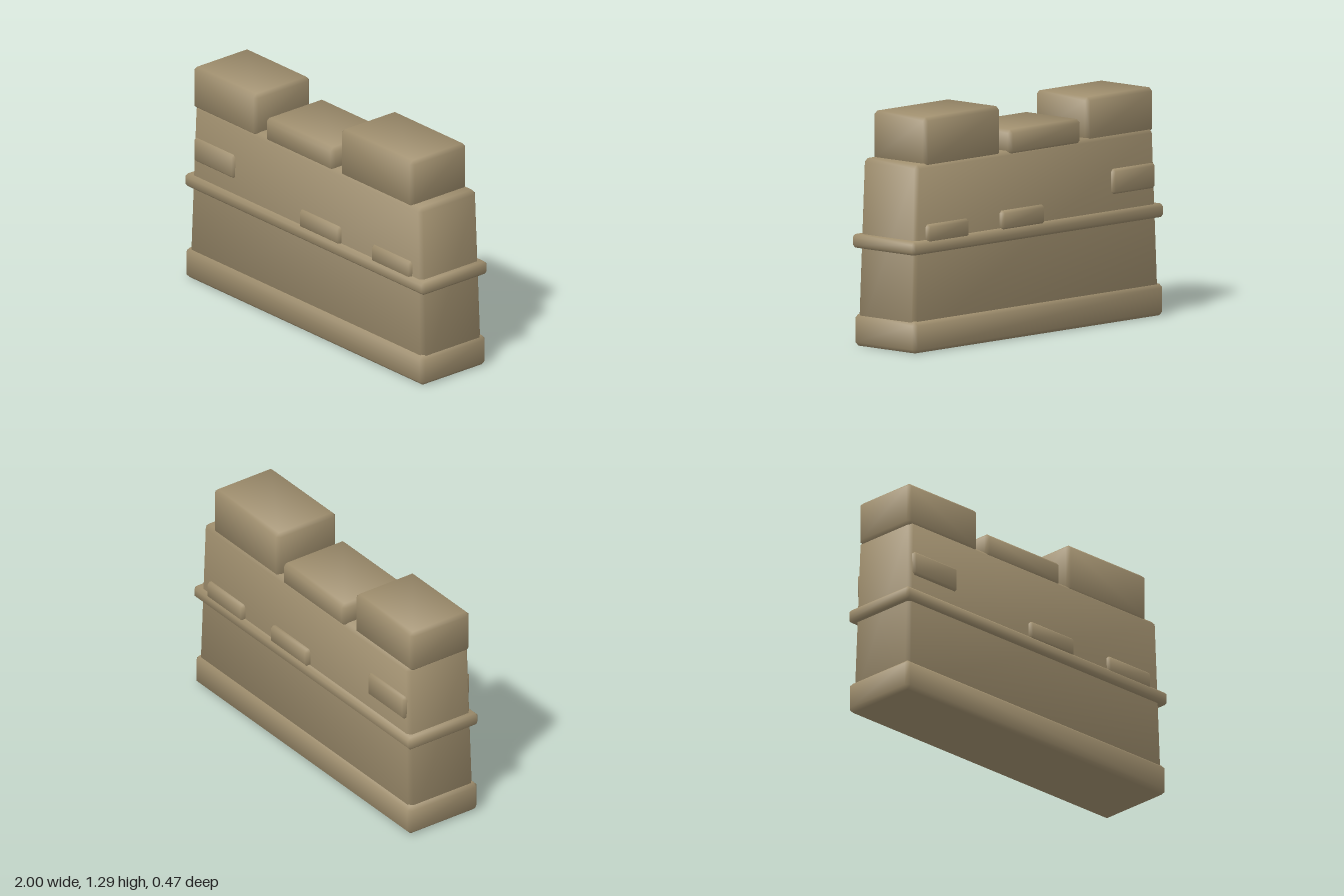
import * as THREE from 'three';
import { ConvexGeometry } from 'three/addons/geometries/ConvexGeometry.js';

const SOFT = 0.39; // how far the normals lean outwards at the corners

// Chamfered box between two corners; the top is inset by taper = [x, z].
function softBlock([x0, y0, z0], [x1, y1, z1], chamfer, taper = [0, 0]) {
  const half = [(x1 - x0) / 2, (y1 - y0) / 2, (z1 - z0) / 2];
  const points = [];
  for (const sx of [-1, 1]) for (const sy of [-1, 1]) for (const sz of [-1, 1]) {
    for (let axis = 0; axis < 3; axis++) {
      const p = [sx, sy, sz].map((s, i) => s * (half[i] - (i === axis ? 0 : chamfer)));
      points.push(new THREE.Vector3(...p));
    }
  }
  const geometry = new ConvexGeometry(points);
  const pos = geometry.attributes.position;
  const normal = geometry.attributes.normal;
  const n = new THREE.Vector3();
  for (let i = 0; i < pos.count; i++) {
    const p = [pos.getX(i), pos.getY(i), pos.getZ(i)];
    // Soft normals: mainly along the face the corner lies on
    n.set(...p.map((v, k) => Math.sign(v) * (Math.abs(v) > half[k] - chamfer / 2 ? 1 : SOFT))).normalize();
    normal.setXYZ(i, n.x, n.y, n.z);
    const t = (p[1] + half[1]) / (2 * half[1]);
    pos.setX(i, p[0] * (1 - taper[0] * t / half[0]));
    pos.setZ(i, p[2] * (1 - taper[1] * t / half[2]));
  }
  geometry.translate((x0 + x1) / 2, (y0 + y1) / 2, (z0 + z1) / 2);
  return geometry;
}

export function createModel() {
  const model = new THREE.Group();
  model.name = 'castleWall';
  const stone = new THREE.MeshStandardMaterial({ color: 0xa08f6e });
  stone.name = 'sandstone';

  const add = (name, geometry) => {
    const mesh = new THREE.Mesh(geometry, stone);
    mesh.name = name;
    model.add(mesh);
  };

  // Plinth, tapered wall and string course
  add('plinth', softBlock([-1, 0, -0.235], [0.99, 0.175, 0.235], 0.022));
  add('wall', softBlock([-0.985, 0.02, -0.217], [0.98, 1.035, 0.219], 0.022, [0.038, 0.012]));
  add('stringCourse', softBlock([-1, 0.543, -0.235], [1, 0.618, 0.237], 0.016));

  // Merlons on the top: left, middle, right in x
  const merlons = [
    [-0.962, -0.43, 1.26, -0.192, 0.209],
    [-0.362, 0.208, 1.152, -0.213, 0.205],
    [0.264, 0.868, 1.29, -0.198, 0.203],
  ];
  for (const [x0, x1, top, z0, z1] of merlons) {
    add('merlon', softBlock([x0, 1.013, z0], [x1, top, z1], 0.02));
  }

  // Raised bricks, repeated on the front and back
  const bricks = [
    [-0.937, -0.6, 0.71, 0.848, 0.225],
    [-0.05, 0.29, 0.61, 0.714, 0.232],
    [0.55, 0.88, 0.6, 0.702, 0.228],
  ];
  for (const [x0, x1, y0, y1, z] of bricks) {
    add('frontBrick', softBlock([x0, y0, 0.16], [x1, y1, z], 0.014));
    add('backBrick', softBlock([x0, y0, -z - 0.005], [x1, y1, -0.16], 0.014));
  }
  return model;
}
